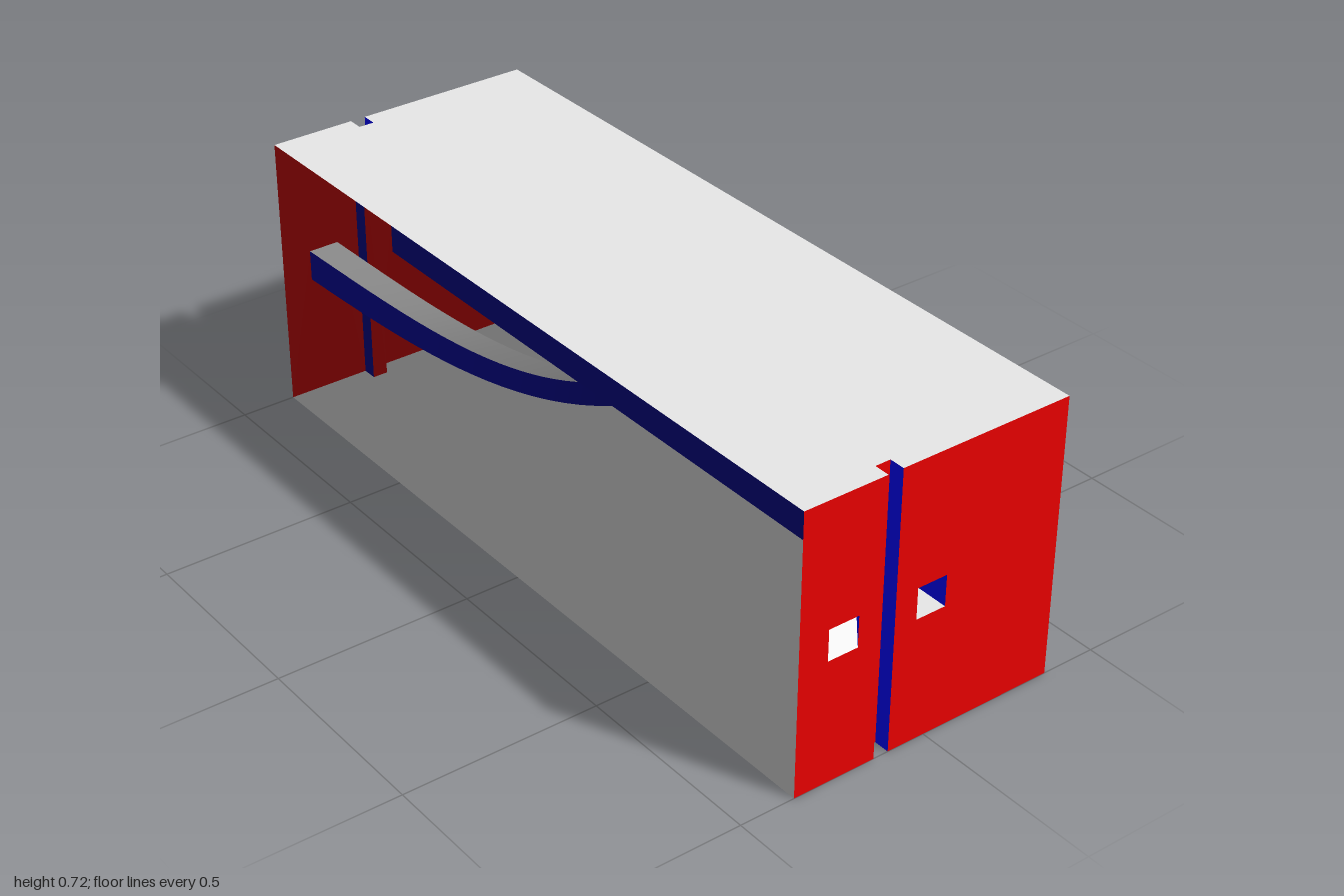
import * as THREE from 'three';

const L = 1, H = 0.716, D = 0.358;            // half length, height, half depth
const SLOT = { x: 0.96, z0: 0.1, z1: 0.14 };  // vertical slot in each end
const MID = H / 2, R = 0.24;                  // tunnel axis height, swing of the winding tunnel

function paint(name, color) {
  const m = new THREE.MeshStandardMaterial({ color, side: THREE.DoubleSide });
  m.name = name;
  return m;
}

function rect(Type, u0, u1, v0, v1) {
  return new Type([[u0, v0], [u1, v0], [u1, v1], [u0, v1]].map(p => new THREE.Vector2(...p)));
}

// One side of a square tunnel, facing its inside, between two corners given as signs [y, z]
function tunnelSide(section, steps, corners) {
  const pos = [], index = [];
  for (let i = 0; i <= steps; i++) {
    const x = -L + (2 * L * i) / steps;
    const s = section(x);
    for (const [cy, cz] of corners) pos.push(x, s.y + cy * s.hy, s.z + cz * s.hz);
    if (i < steps) {
      const a = i * 2;
      index.push(a, a + 2, a + 1, a + 1, a + 2, a + 3);
    }
  }
  const g = new THREE.BufferGeometry();
  g.setAttribute('position', new THREE.Float32BufferAttribute(pos, 3));
  g.setIndex(index);
  g.computeVertexNormals();
  return g;
}

export function createModel() {
  const group = new THREE.Group();
  // Each axis has its own hue: light where the face looks along +, dark along -
  const lightGray = paint('light gray', 0xe6e6e6), darkGray = paint('dark gray', 0x717171);
  const lightRed = paint('bright red', 0xe60000), darkRed = paint('dark red', 0x710000);
  const lightBlue = paint('bright blue', 0x0000e6), darkBlue = paint('dark blue', 0x000071);
  const add = (name, geometry, material, parent = group) => {
    const mesh = new THREE.Mesh(geometry, material);
    mesh.name = name;
    parent.add(mesh);
  };

  // Roof and floor, notched where the slots pass through
  for (const s of [1, -1]) {
    const { x, z0, z1 } = SLOT;
    const outline = [[-L, -D], [L, -D], [L, z0], [x, z0], [x, z1], [L, z1], [L, D],
      [-L, D], [-L, z1], [-x, z1], [-x, z0], [-L, z0]];
    const shape = new THREE.Shape(outline.map(([px, pz]) => new THREE.Vector2(px, -s * pz)));
    const g = new THREE.ShapeGeometry(shape).rotateX((-s * Math.PI) / 2);
    add(s > 0 ? 'roof' : 'floor', g.translate(0, s > 0 ? H : 0, 0), s > 0 ? lightGray : darkGray);
  }

  // Back wall; the front stays open
  add('backWall', new THREE.PlaneGeometry(2 * L, H).rotateY(Math.PI).translate(0, H / 2, -D), darkBlue);

  // End walls in two panels with a square opening each, and the slot between them
  for (const s of [1, -1]) {
    const end = new THREE.Group();
    end.name = s > 0 ? 'leftEnd' : 'rightEnd';
    group.add(end);
    const red = s > 0 ? lightRed : darkRed;
    const panel = (name, z0, z1, holeZ) => {
      const shape = rect(THREE.Shape, -s * z0, -s * z1, 0, H);
      shape.holes.push(rect(THREE.Path, -s * holeZ - 0.04, -s * holeZ + 0.04, MID - 0.04, MID + 0.04));
      const g = new THREE.ShapeGeometry(shape).rotateY((s * Math.PI) / 2).translate(s * L, 0, 0);
      add(name, g, red, end);
    };
    panel('frontEndPanel', SLOT.z1, D, R);
    panel('backEndPanel', -D, SLOT.z0, 0);

    const depth = L - SLOT.x, cx = (s * (L + SLOT.x)) / 2;
    add('slotBottom', new THREE.PlaneGeometry(SLOT.z1 - SLOT.z0, H).rotateY((s * Math.PI) / 2)
      .translate(s * SLOT.x, H / 2, (SLOT.z0 + SLOT.z1) / 2), red, end);
    add('slotBackSide', new THREE.PlaneGeometry(depth, H).translate(cx, H / 2, SLOT.z0), lightBlue, end);
    add('slotFrontSide', new THREE.PlaneGeometry(depth, H).rotateY(Math.PI)
      .translate(cx, H / 2, SLOT.z1), darkBlue, end);
  }

  // Straight tunnel, and one winding round it that keeps its thickness on slopes
  const straight = () => ({ y: MID, z: 0, hy: 0.04, hz: 0.04 });
  const winding = x => {
    const dy = R * Math.PI * Math.cos(Math.PI * x);
    const dz = R * Math.PI * Math.sin((Math.PI * x) / 2);
    return {
      y: MID + R * Math.sin(Math.PI * x),
      z: R - 2 * R * Math.cos((Math.PI * x) / 2),
      hy: 0.032 * Math.hypot(1, dy),
      hz: 0.032 * Math.hypot(1, dz),
    };
  };
  const sides = [
    ['Floor', [[-1, 1], [-1, -1]], lightGray],
    ['Ceiling', [[1, -1], [1, 1]], darkGray],
    ['BackWall', [[-1, -1], [1, -1]], lightBlue],
    ['FrontWall', [[1, 1], [-1, 1]], darkBlue],
  ];
  for (const [name, section, steps] of [['straightTunnel', straight, 1], ['windingTunnel', winding, 64]]) {
    for (const [side, corners, material] of sides) {
      add(name + side, tunnelSide(section, steps, corners), material);
    }
  }
  return group;
}
